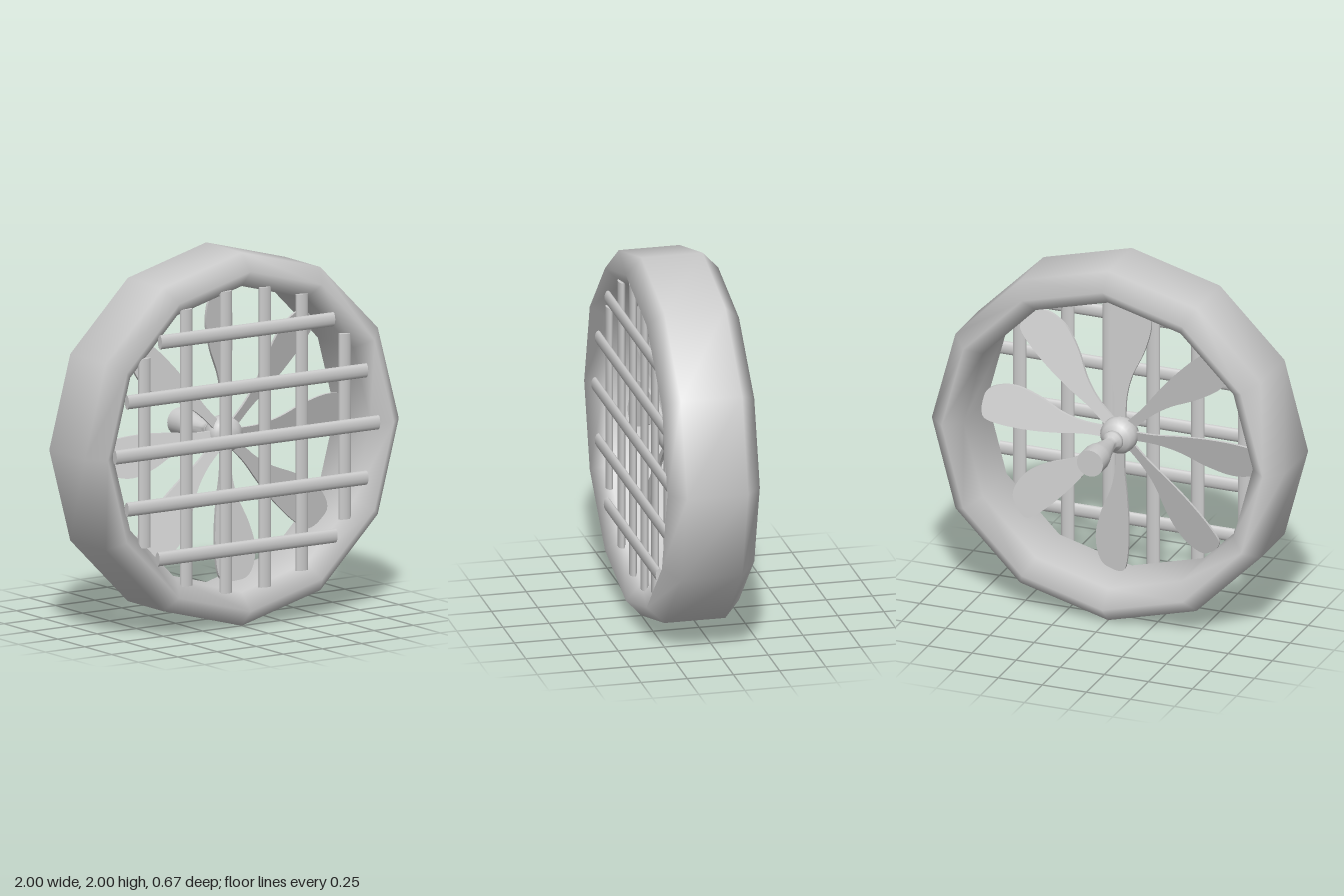
import * as THREE from 'three';
import { mergeVertices, toCreasedNormals } from 'three/addons/utils/BufferGeometryUtils.js';

const V = (x, y) => new THREE.Vector2(x, y);
const CENTRE_Y = 1;
const INNER = 0.82;

// Half length of a bar at a given offset so that it ends just inside the 12-sided opening
function halfSpan(offset) {
  const d = Math.abs(offset);
  for (let k = 0; k < 3; k++) {
    const a = k * Math.PI / 6, b = a + Math.PI / 6;
    const y0 = INNER * Math.sin(a), y1 = INNER * Math.sin(b);
    if (d <= y1) {
      const t = (d - y0) / (y1 - y0);
      return THREE.MathUtils.lerp(INNER * Math.cos(a), INNER * Math.cos(b), t) + 0.02;
    }
  }
  return 0.1;
}

export function createModel() {
  const model = new THREE.Group();
  const material = new THREE.MeshStandardMaterial({ color: 0xcccccc });
  const fan = new THREE.Group();
  fan.name = 'fan';
  fan.position.y = CENTRE_Y;
  model.add(fan);

  const add = (name, geometry, parent = fan) => {
    const mesh = new THREE.Mesh(geometry, material);
    mesh.name = name;
    parent.add(mesh);
    return mesh;
  };

  // Twelve-sided housing ring with a six-sided section, smoothly shaded
  const section = [
    V(0.91, -0.165), V(1, -0.08), V(1, 0.25),
    V(0.91, 0.335), V(INNER, 0.25), V(INNER, -0.08), V(0.91, -0.165),
  ];
  let ring = new THREE.LatheGeometry(section, 12).rotateX(Math.PI / 2);
  ring.deleteAttribute('normal');
  ring.deleteAttribute('uv');
  ring = mergeVertices(ring);
  ring.computeVertexNormals();
  add('housingRing', ring);

  // Grille of flattened bars, horizontals in front of the verticals
  const grille = new THREE.Group();
  grille.name = 'grille';
  fan.add(grille);
  const bar = (name, offset, z, horizontal) => {
    const g = new THREE.CylinderGeometry(0.038, 0.038, 2 * halfSpan(offset), 12);
    g.scale(1, 1, 0.5);
    if (horizontal) g.rotateZ(Math.PI / 2);
    const mesh = add(name, g, grille);
    mesh.position.set(horizontal ? 0 : offset, horizontal ? offset : 0, z);
  };
  for (const y of [-0.573, -0.285, 0.003, 0.29, 0.588]) bar('horizontalBar', y, 0.295, true);
  for (const x of [-0.633, -0.367, -0.115, 0.135, 0.37, 0.643]) bar('verticalBar', x, 0.268, false);

  // Hub with rounded nose, collar and flared rear shaft
  const hubProfile = [
    V(0, -0.335), V(0.074, -0.335), V(0.075, -0.25), V(0.07, -0.22), V(0.055, -0.165),
    V(0.038, -0.08), V(0.036, -0.05), V(0.055, -0.03), V(0.055, -0.005), V(0.048, 0.005),
    V(0.08, 0.02), V(0.098, 0.05), V(0.1, 0.09), V(0.088, 0.13), V(0.05, 0.155), V(0, 0.16),
  ];
  const hub = new THREE.LatheGeometry(hubProfile, 24).rotateX(Math.PI / 2);
  add('hubAndShaft', toCreasedNormals(hub, 0.9));

  // Eight pitched paddle blades, pointing along x before being turned into place
  const outline = new THREE.Shape();
  outline.moveTo(0.05, -0.028);
  outline.splineThru([
    V(0.2, -0.028), V(0.35, -0.045), V(0.5, -0.055), V(0.65, -0.052), V(0.755, -0.035),
    V(0.785, 0.0), V(0.785, 0.06), V(0.765, 0.115), V(0.7, 0.148), V(0.6, 0.155),
    V(0.47, 0.12), V(0.33, 0.06), V(0.2, 0.032), V(0.05, 0.028),
  ]);
  const blade = new THREE.ExtrudeGeometry(outline, { depth: 0.016, bevelEnabled: false, curveSegments: 36 });
  const p = blade.attributes.position;
  for (let i = 0; i < p.count; i++) p.setZ(i, p.getZ(i) + 0.085 + 0.3 * p.getY(i));
  blade.computeVertexNormals();
  const bladeGeometry = toCreasedNormals(blade, 0.6);
  const blades = new THREE.Group();
  blades.name = 'blades';
  fan.add(blades);
  for (let i = 0; i < 8; i++) add('blade', bladeGeometry, blades).rotation.z = i * Math.PI / 4;

  return model;
}
